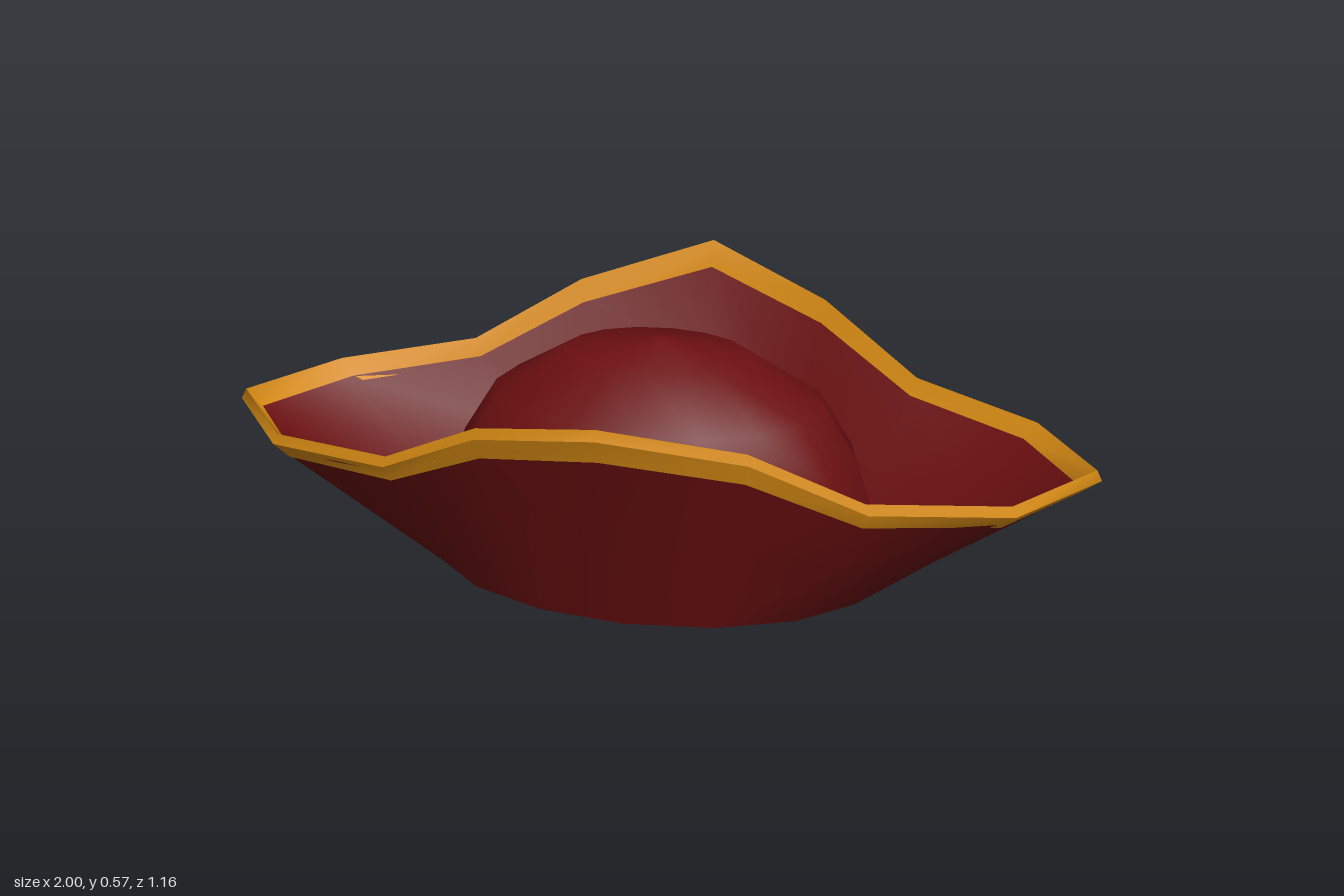
import * as THREE from 'three';

const SIDES = 16;
const BASE_X = 0.52, BASE_Z = 0.34;

// One quarter of the brim edge, from the side tip to the front peak: x, y, z
const EDGE = [
  [1, 0.3, 0], [0.84, 0.3, 0.23], [0.54, 0.33, 0.355], [0.3, 0.465, 0.455], [0, 0.545, 0.58],
];

// Mirrors the quarter into a full ring of brim edge points
function edgePoint(i) {
  const k = i % 8;
  const [x, y, z] = EDGE[k <= 4 ? k : 8 - k];
  const a = (i / SIDES) * Math.PI * 2;
  return new THREE.Vector3(x * Math.sign(Math.cos(a)), y, z * Math.sign(Math.sin(a)));
}

function basePoint(i) {
  const a = (i / SIDES) * Math.PI * 2;
  return new THREE.Vector3(BASE_X * Math.cos(a), 0, BASE_Z * Math.sin(a));
}

// Ring part way up the brim (t = 0 base, 1 edge), grown by a factor and lifted
function brimRing(t, grow = 1, lift = 0) {
  return Array.from({ length: SIDES }, (_, i) => {
    const p = basePoint(i).lerp(edgePoint(i), t);
    return p.set(p.x * grow, p.y + lift, p.z * grow);
  });
}

// Smooth skin through closed rings
function loft(rings) {
  const index = [];
  for (let r = 0; r < rings.length - 1; r++) {
    for (let i = 0; i < SIDES; i++) {
      const j = (i + 1) % SIDES;
      const a = r * SIDES + i, b = r * SIDES + j, c = a + SIDES, d = b + SIDES;
      index.push(a, c, b, b, c, d);
    }
  }
  const g = new THREE.BufferGeometry().setFromPoints(rings.flat());
  g.setIndex(index);
  g.computeVertexNormals();
  return g;
}

export function createModel() {
  const felt = new THREE.MeshStandardMaterial({ color: 0x6b0f10, side: THREE.DoubleSide });
  felt.name = 'dark red felt';
  const gold = new THREE.MeshStandardMaterial({ color: 0xd98c14, side: THREE.DoubleSide });
  gold.name = 'gold trim';

  const hat = new THREE.Group();
  hat.name = 'hat';
  const add = (name, geometry, material) => {
    const mesh = new THREE.Mesh(geometry, material);
    mesh.name = name;
    hat.add(mesh);
  };

  // Hollow oval crown, open underneath
  const profile = [[1, 0], [0.96, 0.15], [0.88, 0.28], [0.73, 0.41], [0.4, 0.515], [0, 0.55]];
  const crown = new THREE.LatheGeometry(profile.map(([r, y]) => new THREE.Vector2(r, y)), SIDES);
  crown.scale(BASE_X, 1, BASE_Z);
  add('crown', crown, felt);

  // Upturned brim flaring from the foot of the crown
  add('brim', loft([brimRing(0), brimRing(0.5), brimRing(0.96)]), felt);

  // Trim folded over the brim edge: outside, top and inside faces
  const outerLow = brimRing(0.9, 1.003, -0.002);
  const outerTop = brimRing(1);
  const innerTop = brimRing(1, 0.988, 0.025);
  const innerLow = brimRing(0.91, 0.992, 0.012);
  add('trimOutside', loft([outerLow, outerTop]), gold);
  add('trimTop', loft([outerTop, innerTop]), gold);
  add('trimInside', loft([innerTop, innerLow]), gold);

  return hat;
}
